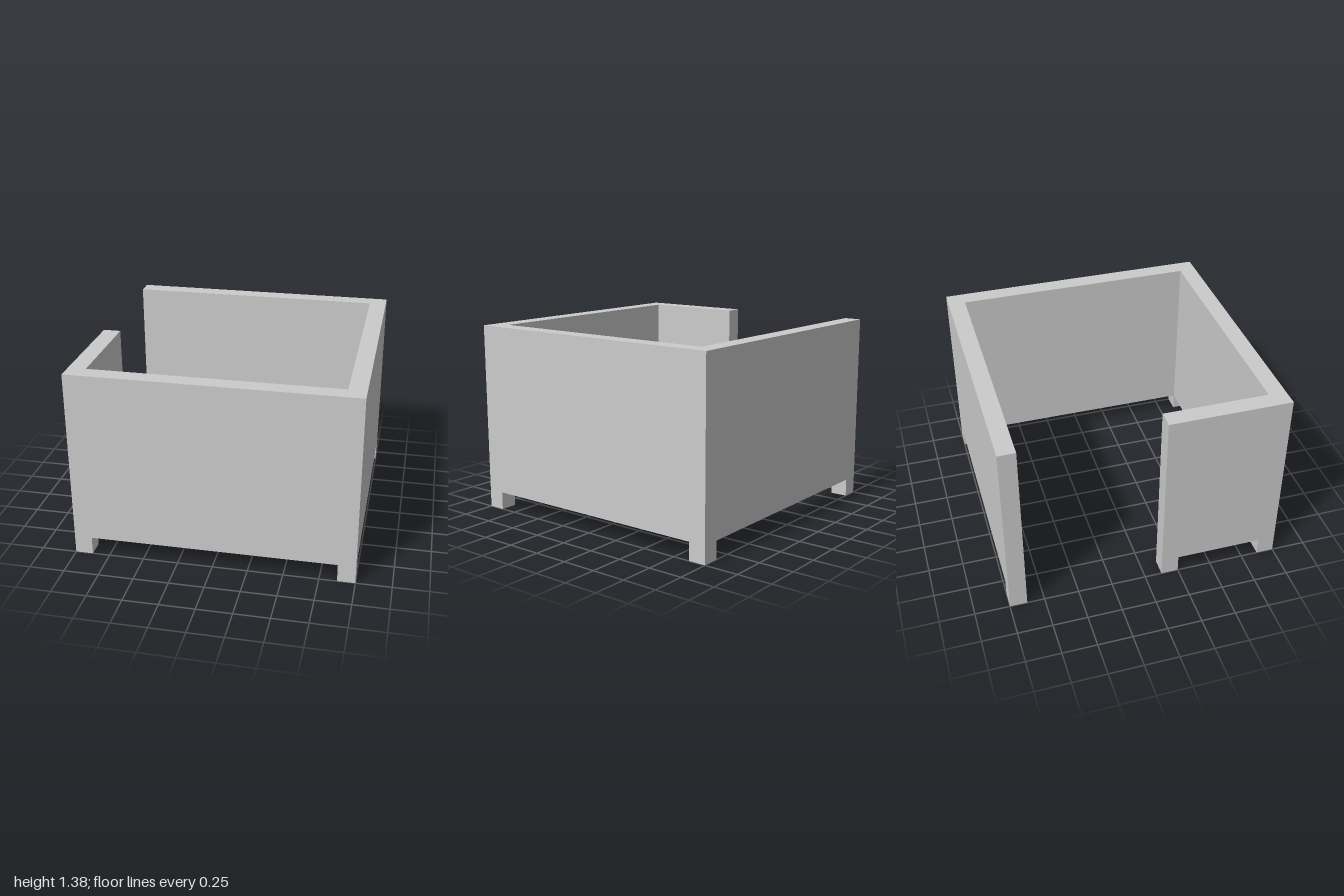
import * as THREE from 'three';

const HEIGHT = 1.375, FOOT_HEIGHT = 0.13, T = 0.125; // T: wall and foot thickness
const INNER = 1 - T;
const WALL_END = 0.125; // z where the short wall stops at the doorway

export function createModel() {
  const model = new THREE.Group();
  model.name = 'enclosure';
  const material = new THREE.MeshStandardMaterial({ color: 0xcccccc, flatShading: true });

  // Continuous wall, drawn in plan (x, z) with a doorway on the right side
  const plan = new THREE.Shape([
    [-1, WALL_END], [-INNER, WALL_END], [-INNER, INNER], [INNER, INNER],
    [INNER, -INNER], [-1, -INNER], [-1, -1], [1, -1], [1, 1], [-1, 1],
  ].map(([x, z]) => new THREE.Vector2(x, z)));
  const wallGeometry = new THREE.ExtrudeGeometry(plan, { depth: HEIGHT - FOOT_HEIGHT, bevelEnabled: false });
  wallGeometry.rotateX(Math.PI / 2).translate(0, HEIGHT, 0);
  const walls = new THREE.Mesh(wallGeometry, material);
  walls.name = 'walls';
  model.add(walls);

  // Square feet at the corners and under the doorway end of the short wall
  const c = 1 - T / 2;
  const feet = {
    frontLeftFoot: [c, c],
    frontRightFoot: [-c, c],
    backLeftFoot: [c, -c],
    backRightFoot: [-c, -c],
    doorwayFoot: [-c, WALL_END + T / 2],
  };
  const footGeometry = new THREE.BoxGeometry(T, FOOT_HEIGHT, T);
  for (const [name, [x, z]] of Object.entries(feet)) {
    const foot = new THREE.Mesh(footGeometry, material);
    foot.name = name;
    foot.position.set(x, FOOT_HEIGHT / 2, z);
    model.add(foot);
  }
  return model;
}
